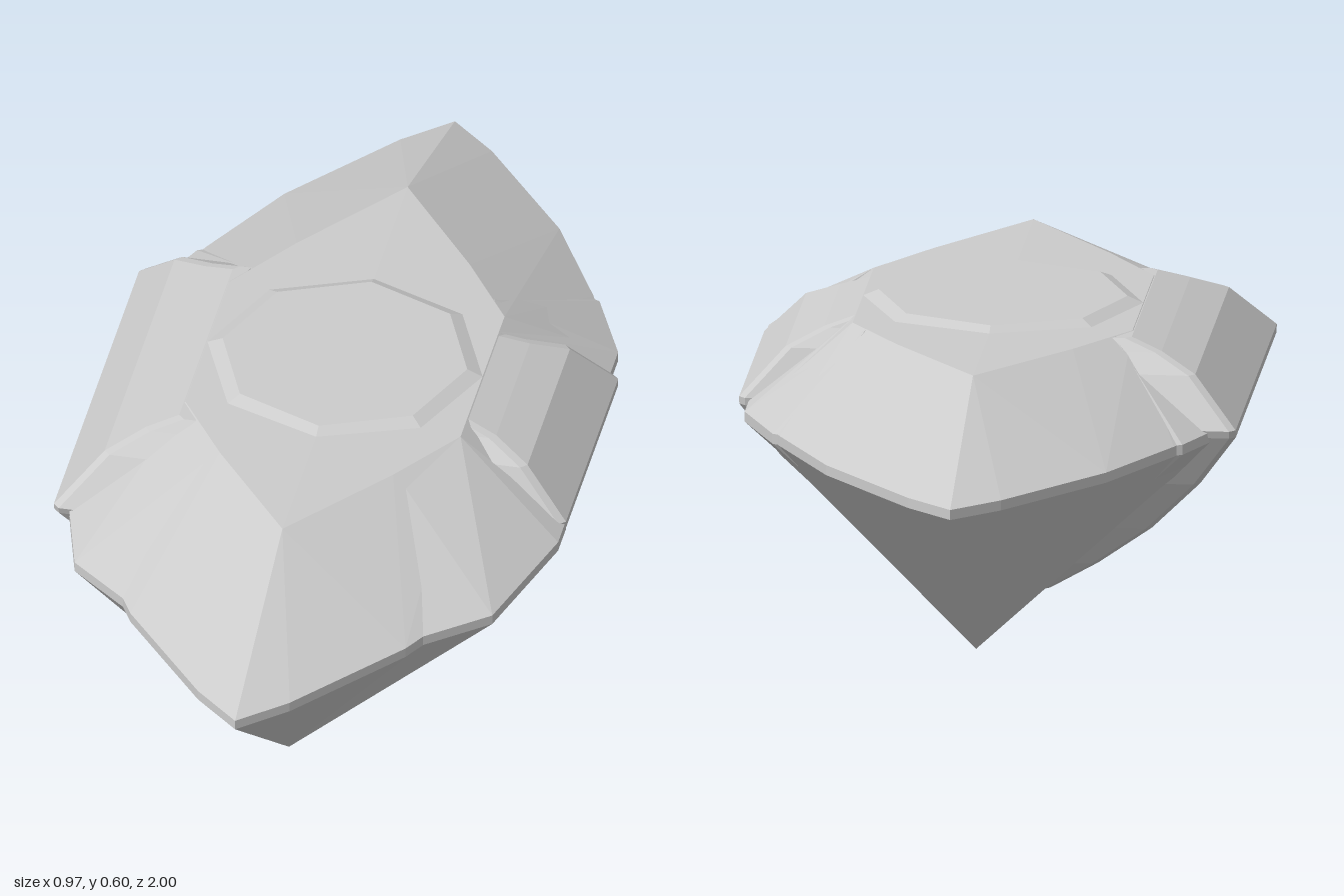
import * as THREE from 'three';
import { ConvexGeometry } from 'three/addons/geometries/ConvexGeometry.js';

const material = new THREE.MeshStandardMaterial({ color: 0xcccccc, flatShading: true });

function addPart(group, name, geometry) {
  const mesh = new THREE.Mesh(geometry, material);
  mesh.name = name;
  group.add(mesh);
}

// Faceted solid: a thin upright girdle band [x, z] plus table and keel points [x, y, z]
function facetedStone(girdle, others) {
  const points = others.map(p => new THREE.Vector3(...p));
  for (const [x, z] of girdle) {
    points.push(new THREE.Vector3(x, 0.42, z), new THREE.Vector3(x, 0.44, z));
  }
  return new ConvexGeometry(points);
}

// Half of a step cut stone, lofted from levels of [y, reach in x, half width in z]
function stepCut(levels, side) {
  const positions = [], index = [], n = 6;
  for (const [y, hx, hz] of levels) {
    const c = Math.min(0.012, hx * 0.2);
    const ring = [[0, hz], [hx - c, hz], [hx, hz - c], [hx, c - hz], [hx - c, -hz], [0, -hz]];
    for (const [x, z] of ring) positions.push(side * x, y, z);
  }
  const tri = (a, b, c) => index.push(...(side > 0 ? [a, b, c] : [a, c, b]));
  for (let l = 0; l < levels.length - 1; l++) {
    for (let i = 0; i < n; i++) {
      const a = l * n + i, b = l * n + (i + 1) % n;
      tri(a, b, b + n);
      tri(a, b + n, a + n);
    }
  }
  const top = (levels.length - 1) * n;
  for (let i = 1; i < n - 1; i++) {
    tri(top, top + i, top + i + 1);
    tri(0, i + 1, i);
  }
  const geometry = new THREE.BufferGeometry();
  geometry.setAttribute('position', new THREE.Float32BufferAttribute(positions, 3));
  geometry.setIndex(index);
  const flat = geometry.toNonIndexed();
  flat.computeVertexNormals();
  return flat;
}

export function createModel() {
  const group = new THREE.Group();
  group.name = 'gemCluster';

  // Long pointed stone with a keel underneath
  const girdle = [[0, 1], [0, -1]], points = [];
  for (const z of [1, -1]) {
    points.push([0, 0.03, 0.51 * z], [0, 0.59, 0.57 * z]);
    for (const x of [1, -1]) {
      for (const [gx, gz] of [[0.09, 0.92], [0.27, 0.7], [0.38, 0.5], [0.455, 0.33]]) {
        girdle.push([gx * x, gz * z]);
      }
      points.push([0.17 * x, 0.588, 0.35 * z], [0.27 * x, 0.587, 0.2 * z]);
    }
  }
  addPart(group, 'pointedStone', facetedStone(girdle, points));

  // Front shoulders, the one on +x a little fuller below
  for (const s of [1, -1]) {
    const outline = s > 0
      ? [[0.24, 0.7], [0.41, 0.56], [0.483, 0.3], [0.483, 0.23]]
      : [[-0.24, 0.7], [-0.41, 0.56], [-0.46, 0.38], [-0.46, 0.25]];
    const rest = [[0.17 * s, 0.588, 0.34], [0.27 * s, 0.587, 0.2], [0, 0.03, 0.51], [0, 0.03, 0.1]];
    if (s > 0) rest.push([0.3, 0.225, 0.27]);
    addPart(group, s > 0 ? 'leftShoulder' : 'rightShoulder', facetedStone(outline, rest));
  }
  // Small back shoulders
  for (const s of [1, -1]) {
    addPart(group, s > 0 ? 'leftBackShoulder' : 'rightBackShoulder', facetedStone(
      [[0.36 * s, -0.5], [0.395 * s, -0.485], [0.465 * s, -0.33], [0.465 * s, -0.2]],
      [[0.24 * s, 0.587, -0.25], [0.27 * s, 0.587, -0.15], [0, 0.035, -0.4], [0, 0.035, -0.1]]));
  }

  // Step cut halves, narrow on +x and wide on -x
  const steps = [
    [0.048, 0.1, 0.08, 0.13], [0.12, 0.2, 0.125, 0.2], [0.21, 0.31, 0.165, 0.265],
    [0.32, 0.41, 0.21, 0.335], [0.43, 0.485, 0.248, 0.395], [0.445, 0.485, 0.25, 0.4],
    [0.535, 0.4, 0.205, 0.33], [0.566, 0.33, 0.165, 0.28], [0.586, 0.27, 0.15, 0.255],
  ];
  addPart(group, 'narrowStepCut', stepCut(steps.map(([y, x, a]) => [y, x, a]), 1));
  addPart(group, 'wideStepCut', stepCut(steps.map(([y, x, , b]) => [y, x + 0.003, b]), -1));

  // Round stone in the middle: only its table and tip stand out
  const profile = [[0, 0], [0.03, 0], [0.068, 0.045], [0.4, 0.42], [0.4, 0.44], [0.27, 0.587], [0.24, 0.6], [0, 0.6]]
    .map(([r, y]) => new THREE.Vector2(r, y));
  addPart(group, 'roundStone', new THREE.LatheGeometry(profile, 8));

  return group;
}
